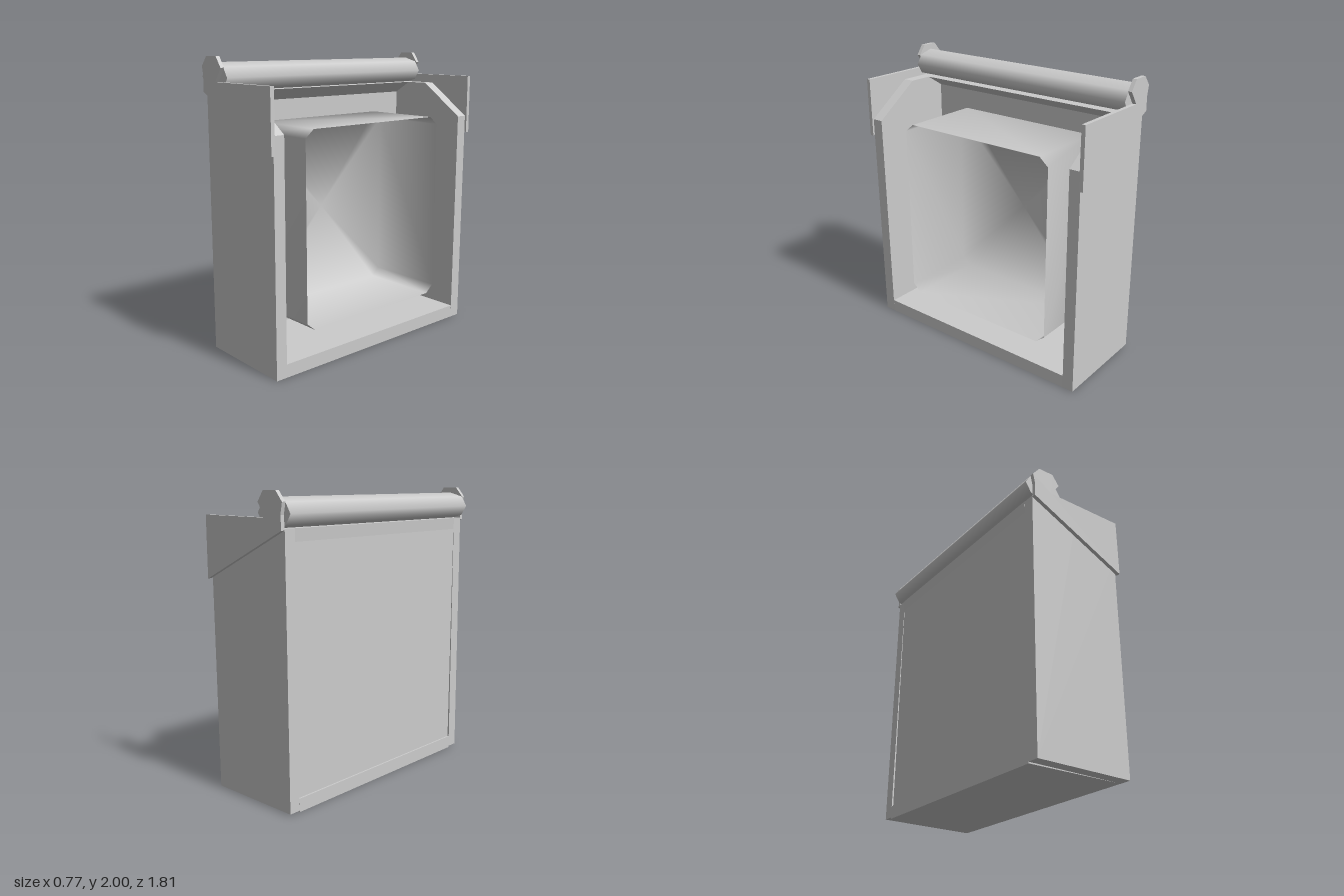
import * as THREE from 'three';

const grey = new THREE.MeshStandardMaterial({ color: 0xcccccc });
const greyOpen = new THREE.MeshStandardMaterial({ color: 0xcccccc, side: THREE.DoubleSide });

function add(parent, name, geometry, material = grey) {
  const mesh = new THREE.Mesh(geometry, material);
  mesh.name = name;
  parent.add(mesh);
  return mesh;
}

// Extrude an x/y outline between two z positions
function slab(points, z0, z1) {
  const shape = new THREE.Shape(points.map(([x, y]) => new THREE.Vector2(x, y)));
  const g = new THREE.ExtrudeGeometry(shape, { depth: z1 - z0, bevelEnabled: false });
  return g.translate(0, 0, z0);
}

function block(x0, x1, y0, y1, z0, z1) {
  return new THREE.BoxGeometry(x1 - x0, y1 - y0, z1 - z0)
    .translate((x0 + x1) / 2, (y0 + y1) / 2, (z0 + z1) / 2);
}

// Thin hollow tray with chamfered corners: rings along x, closed at the back
function trayGeometry(xFront, xBack, y0, y1, z0, z1, c) {
  const ring = [
    [y0, z0 + c], [y0, z1 - c], [y0 + c * 0.85, z1], [y1 - c * 0.85, z1],
    [y1, z1 - c], [y1, z0 + c], [y1 - c * 0.85, z0], [y0 + c * 0.85, z0],
  ];
  const n = ring.length;
  const pos = [];
  const index = [];
  for (const x of [xFront, xBack]) for (const [y, z] of ring) pos.push(x, y, z);
  pos.push(xBack, (y0 + y1) / 2, (z0 + z1) / 2);
  for (let i = 0; i < n; i++) {
    const j = (i + 1) % n;
    index.push(i, i + n, j, j, i + n, j + n);
    index.push(i + n, 2 * n, j + n);
  }
  const g = new THREE.BufferGeometry();
  g.setAttribute('position', new THREE.Float32BufferAttribute(pos, 3));
  g.setIndex(index);
  g.computeVertexNormals();
  // Orient faces outward from the tray
  const nrm = g.attributes.normal;
  if (nrm.getY(4) < 0) {
    for (let i = 0; i < index.length; i += 3) [index[i], index[i + 1]] = [index[i + 1], index[i]];
    g.setIndex(index);
    g.computeVertexNormals();
  }
  return g;
}

export function createModel() {
  const model = new THREE.Group();
  model.name = 'case';

  // Side walls with sloped front shoulders, and the bracket plates outside them
  const wall = [[-0.345, 0.01], [0.355, 0], [0.366, 1.55], [0.04, 1.78], [-0.335, 1.78]];
  const plate = [
    [-0.335, 1.77], [0.38, 1.43], [0.38, 1.84], [-0.195, 1.84], [-0.13, 1.93],
    [-0.18, 2], [-0.29, 2], [-0.345, 1.935], [-0.33, 1.86],
  ];
  for (const [side, s] of [['left', 1], ['right', -1]]) {
    const span = (a, b) => (s > 0 ? [a, b] : [-b, -a]);
    add(model, side + 'Wall', slab(wall, ...span(0.8, 0.88)));
    add(model, side + 'Bracket', slab(plate, ...span(0.88, 0.907)));
  }

  // Floor, slightly recessed back panel and the lip above it
  add(model, 'floor', block(-0.345, 0.355, 0, 0.09, -0.8, 0.8));
  add(model, 'backPanel', block(-0.333, -0.26, 0.09, 1.7, -0.8, 0.8));
  add(model, 'backLip', slab([[-0.333, 1.7], [-0.26, 1.7], [-0.13, 1.78], [-0.338, 1.78]], -0.8, 0.8));

  // Open tray inside the case
  add(model, 'innerTray', trayGeometry(0.32, -0.255, 0.24, 1.56, -0.615, 0.6, 0.065), greyOpen);

  // Flattened eight-sided roller across the top
  const roller = new THREE.CylinderGeometry(1, 1, 1.76, 8).rotateX(Math.PI / 2)
    .scale(0.143, 0.095, 1).translate(-0.243, 1.867, 0);
  add(model, 'topRoller', roller);

  return model;
}
